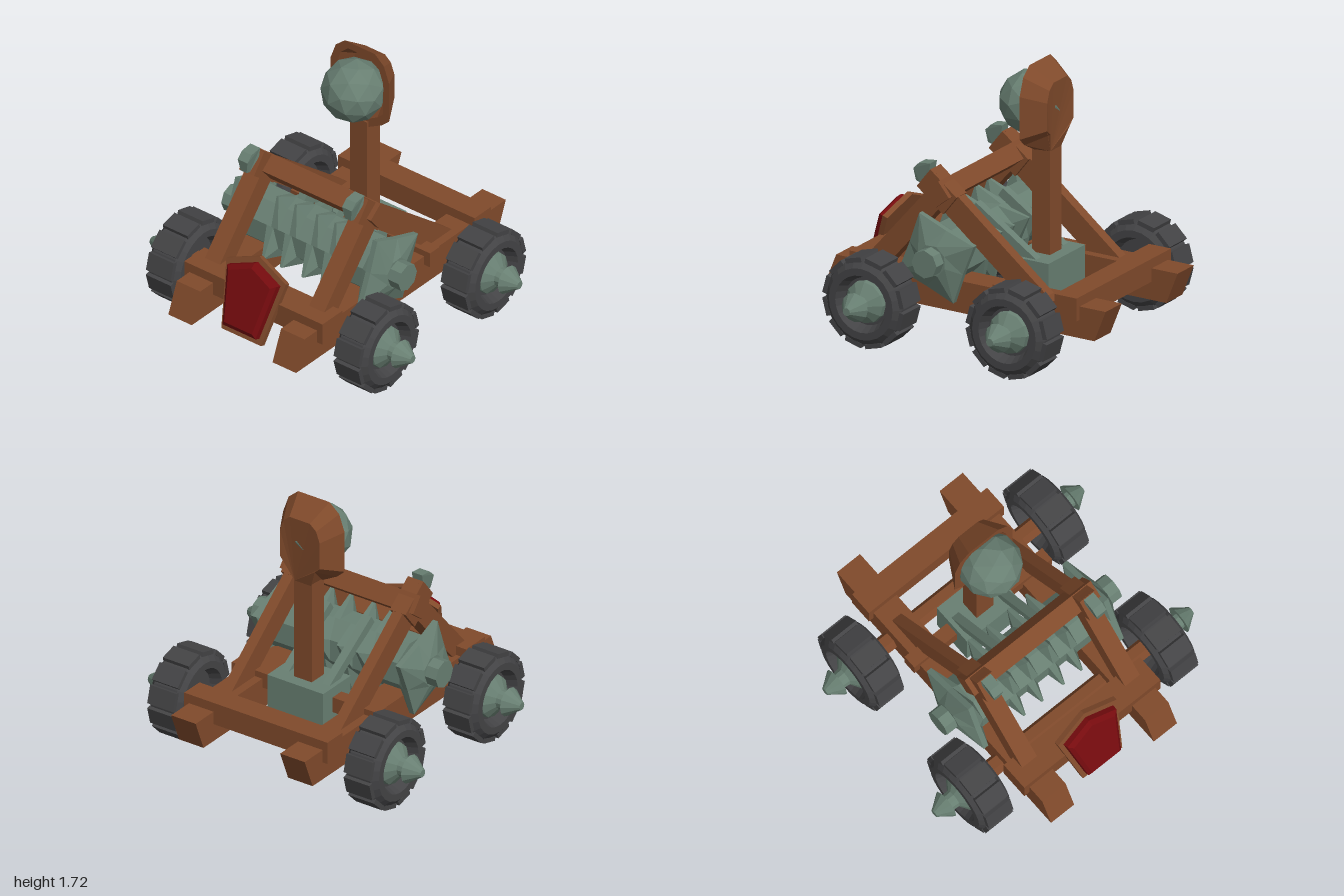
import * as THREE from 'three';

const mat = (name, color) => {
  const m = new THREE.MeshStandardMaterial({ color, flatShading: true });
  m.name = name;
  return m;
};

export function createModel() {
  const wood = mat('wood', 0x804a2b);
  const metal = mat('greenMetal', 0x687f72);
  const rubber = mat('rubber', 0x434345);
  const red = mat('redPaint', 0x760b0e);
  const model = new THREE.Group();
  model.name = 'catapult';

  const add = (name, geo, material, parent = model, x = 0, y = 0, z = 0) => {
    const m = new THREE.Mesh(geo, material);
    m.name = name;
    m.position.set(x, y, z);
    parent.add(m);
    return m;
  };
  const box = (name, material, x, y, z, w, h, d, parent) =>
    add(name, new THREE.BoxGeometry(w, h, d), material, parent, x, y, z);

  // Box running between two [z, y] points
  const beam = (name, material, x, a, b, w, h) => {
    const dz = b[0] - a[0], dy = b[1] - a[1];
    const m = box(name, material, x, (a[1] + b[1]) / 2, (a[0] + b[0]) / 2, w, h, Math.hypot(dz, dy));
    m.rotation.x = -Math.atan2(dy, dz);
    return m;
  };

  // Skin over a row of equal-length rings, closed at both ends
  const loft = (rings) => {
    const pos = [], n = rings[0].length;
    const tri = (...pts) => pts.forEach((p) => pos.push(...p));
    for (let i = 0; i + 1 < rings.length; i++) {
      for (let k = 0; k < n; k++) {
        const a = rings[i][k], b = rings[i][(k + 1) % n];
        const c = rings[i + 1][k], d = rings[i + 1][(k + 1) % n];
        tri(a, c, b);
        tri(b, c, d);
      }
    }
    const first = rings[0], last = rings[rings.length - 1];
    for (let k = 1; k < n - 1; k++) {
      tri(first[0], first[k], first[k + 1]);
      tri(last[0], last[k + 1], last[k]);
    }
    const g = new THREE.BufferGeometry();
    g.setAttribute('position', new THREE.Float32BufferAttribute(pos, 3));
    g.computeVertexNormals();
    return g;
  };
  // Outline scaled about (0, cy) and placed at depth z
  const ring = (pts, sx, sy, cy, z) => pts.map(([x, y]) => [x * sx, cy + (y - cy) * sy, z]);

  // Lathe about the x axis from [x, radius] points
  const turned = (pts, sides) =>
    new THREE.LatheGeometry(pts.map(([x, r]) => new THREE.Vector2(r, x)), sides).rotateZ(-Math.PI / 2);

  // Chassis rails with slanted ends
  for (const s of [-1, 1]) {
    const g = new THREE.BoxGeometry(0.18, 0.2, 1.9);
    const p = g.attributes.position;
    for (let i = 0; i < p.count; i++) p.setZ(i, p.getZ(i) + (p.getY(i) > 0 ? -0.04 : 0.04));
    add('sideRail', g, wood, model, s * 0.4, 0.33, 0);
  }

  // Cross beams
  box('frontCrossBeam', wood, 0, 0.418, 0.695, 1.06, 0.145, 0.19);
  box('rearCrossBeam', wood, 0, 0.418, -0.73, 1.05, 0.145, 0.155);
  box('middleCrossBeam', wood, 0, 0.42, -0.265, 1.07, 0.1, 0.09);

  // Leaning frame on each side, with clamp and hooked cap
  const capSide = [[0.28, 1.11], [0.36, 1.1], [0.4, 1.06], [0.39, 0.98], [0.36, 0.97], [0.29, 1.05]];
  for (const s of [-1, 1]) {
    const x = s * 0.4;
    beam('frontLeg', wood, x, [0.66, 0.42], [0.17, 0.985], 0.115, 0.13);
    beam('rearLeg', wood, x, [0.31, 1.02], [-0.5, 0.37], 0.07, 0.15);
    beam('legClamp', wood, x, [0.315, 1.02], [0.13, 0.875], 0.115, 0.155);
    const shape = new THREE.Shape(capSide.map(([z, y]) => new THREE.Vector2(-z, y)));
    const g = new THREE.ExtrudeGeometry(shape, { depth: 0.075, bevelEnabled: false });
    g.translate(0, 0, -0.0375).rotateY(Math.PI / 2);
    // Narrow the cap towards its lower end
    const p = g.attributes.position;
    for (let i = 0; i < p.count; i++) if (p.getY(i) < 1) p.setX(i, p.getX(i) * 0.6);
    add('frameCap', g, metal, model, x, 0, 0);
  }
  const topBar = box('topBar', wood, 0, 0.945, 0.2, 0.98, 0.12, 0.12);
  topBar.rotation.x = 0.68;

  // Spiked winch drum: each row is x, tip radius, valley radius
  const half = [
    [0.04, 0.18, 0.18], [0.075, 0.285, 0.18], [0.09, 0.285, 0.18], [0.125, 0.18, 0.18],
    [0.18, 0.18, 0.18], [0.215, 0.285, 0.18], [0.23, 0.285, 0.18], [0.265, 0.18, 0.18],
    [0.47, 0.18, 0.18], [0.51, 0.29, 0.2], [0.545, 0.29, 0.2], [0.6, 0.1, 0.1],
  ];
  const rows = [...half.map(([x, a, b]) => [-x, a, b]).reverse(), ...half];
  const drumRings = rows.map(([x, tip, valley]) => Array.from({ length: 8 }, (_, k) => {
    const t = 1.145 + k * Math.PI / 4, r = k % 2 ? valley : tip;
    return [x, 0.565 + r * Math.sin(t), 0.17 + r * Math.cos(t)];
  }));
  add('winchDrum', loft(drumRings), metal);
  add('winchAxle', turned([[-0.68, 0], [-0.68, 0.088], [0.68, 0.088], [0.68, 0]], 8), metal, model, 0, 0.565, 0.17);

  // Arm socket and straps to the drum
  box('armSocket', metal, 0, 0.39, -0.265, 0.41, 0.29, 0.28);
  for (const s of [-1, 1]) beam('strap', metal, s * 0.15, [-0.3, 0.5], [0.14, 0.79], 0.055, 0.06);

  // Throwing arm with hollow spoon
  box('throwingArm', wood, 0, 0.81, -0.265, 0.13, 0.82, 0.125);
  const spoon = [
    [0.06, 1.18], [0.17, 1.24], [0.225, 1.29], [0.225, 1.56], [0.185, 1.67], [0.115, 1.73],
    [-0.115, 1.73], [-0.185, 1.67], [-0.225, 1.56], [-0.225, 1.29], [-0.17, 1.24], [-0.06, 1.18],
  ];
  const back = ring(spoon, 0.65, 0.65, 1.455, -0.36);
  // Blend the bottom of the spoon into the arm
  for (const i of [0, 11]) back[i] = [Math.sign(spoon[i][0]) * 0.06, 1.19, -0.328];
  add('spoon', loft([
    ring(spoon, 0.6, 0.62, 1.46, -0.31), ring(spoon, 0.79, 0.82, 1.47, -0.215),
    ring(spoon, 1, 1, 1.455, -0.215), back,
  ]), wood);
  const ball = add('boulder', new THREE.IcosahedronGeometry(0.2, 1), metal, model, 0, 1.455, -0.155);
  ball.rotation.set(0.3, 0.4, 0.2);

  // Tilted front shield
  const shield = new THREE.Group();
  shield.name = 'frontShield';
  shield.position.set(-0.008, 0.465, 0.795);
  shield.rotation.x = -0.34;
  model.add(shield);
  const plate = [[0.152, -0.26], [0.228, 0.165], [0, 0.26], [-0.228, 0.165], [-0.152, -0.26]];
  add('shieldBack', loft([ring(plate, 1, 1, 0, 0.015), ring(plate, 1, 1, 0, -0.02)]), wood, shield);
  add('shieldFace', loft([ring(plate, 0.7, 0.74, -0.01, 0.07), ring(plate, 0.83, 0.85, 0, 0.05),
    ring(plate, 0.85, 0.86, 0, 0.01)]), red, shield);

  // Wheels, hubs and axles
  const tyre = [[-0.05, 0.01], [-0.05, 0.15], [-0.12, 0.18], [-0.12, 0.225], [-0.085, 0.265],
    [0.085, 0.265], [0.12, 0.225], [0.12, 0.18], [0.05, 0.15], [0.05, 0.01]];
  const hub = [[0.04, 0], [0.04, 0.135], [0.08, 0.13], [0.13, 0.06], [0.185, 0.055],
    [0.185, 0.092], [0.25, 0.045], [0.28, 0.025], [0.28, 0]];
  for (const z of [0.515, -0.495]) {
    add('axle', turned([[-0.7, 0], [-0.7, 0.06], [0.7, 0.06], [0.7, 0]], 6), wood, model, 0, 0.295, z);
    for (const s of [-1, 1]) {
      const wheel = new THREE.Group();
      wheel.name = 'wheel';
      wheel.position.set(s * 0.72, 0.295, z);
      wheel.rotation.y = s > 0 ? 0 : Math.PI;
      model.add(wheel);
      add('tyre', turned(tyre, 24), rubber, wheel);
      add('hubSpike', turned(hub, 12), metal, wheel);
      for (let k = 0; k < 12; k++) {
        const t = (k + 0.5) * Math.PI / 6;
        const tread = box('tread', rubber, 0, 0.267 * Math.cos(t), 0.267 * Math.sin(t), 0.19, 0.03, 0.115, wheel);
        tread.rotation.x = t;
      }
    }
  }
  return model;
}
